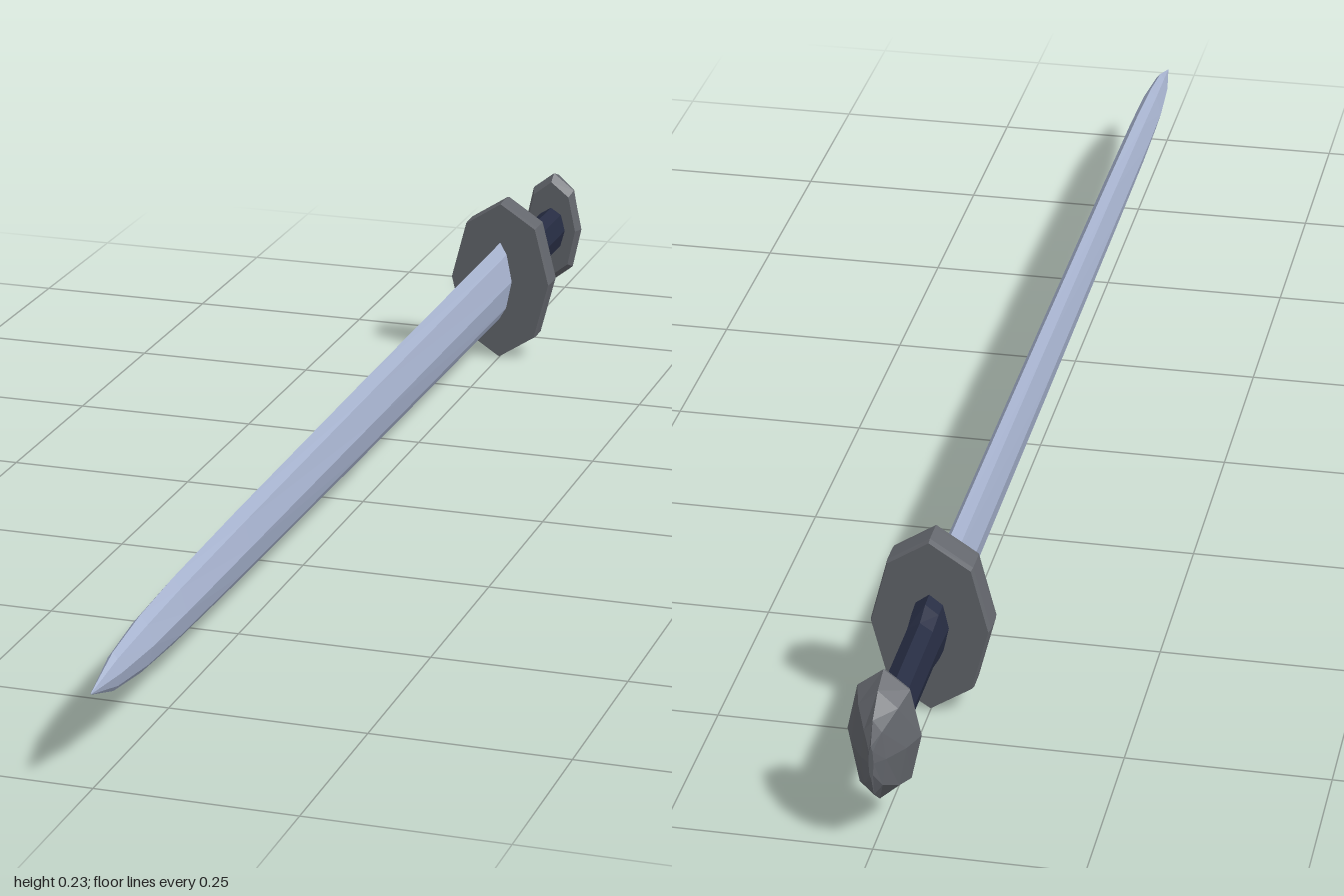
import * as THREE from 'three';

const AXIS_Y = 0.117;

// Four-way symmetric outline, counter-clockwise, from one corner point
const outline = (cx, cy) => [
  [1, 0], [cx, cy], [0, 1], [-cx, cy], [-1, 0], [-cx, -cy], [0, -1], [cx, -cy],
];

// Lofts an outline through sections [z, halfWidth, halfHeight], rising in z, with closed ends
function loft(name, color, shape, sections) {
  const n = shape.length;
  const pos = [];
  const index = [];
  for (const [z, w, h] of sections) {
    for (const [x, y] of shape) pos.push(x * w, AXIS_Y + y * h, z);
  }
  const last = sections.length - 1;
  const startCentre = pos.length / 3;
  pos.push(0, AXIS_Y, sections[0][0], 0, AXIS_Y, sections[last][0]);
  for (let j = 0; j < n; j++) {
    const k = (j + 1) % n;
    for (let i = 0; i < last; i++) {
      const a = i * n + j, b = i * n + k;
      index.push(a, b, b + n, a, b + n, a + n);
    }
    index.push(startCentre, k, j, startCentre + 1, last * n + j, last * n + k);
  }
  let geo = new THREE.BufferGeometry();
  geo.setAttribute('position', new THREE.Float32BufferAttribute(pos, 3));
  geo.setIndex(index);
  geo = geo.toNonIndexed();
  geo.computeVertexNormals();
  const mesh = new THREE.Mesh(geo, new THREE.MeshStandardMaterial({ color, flatShading: true }));
  mesh.name = name;
  return mesh;
}

export function createModel() {
  const sword = new THREE.Group();
  sword.name = 'sword';
  const steel = 0xa8b4d0, iron = 0x63666c, leather = 0x262c42;
  const octagon = outline(0.71, 0.71);

  sword.add(
    // Double-edged blade, tapering to a point at the front
    loft('blade', steel, outline(0.55, 0.7), [
      [-0.66, 0.018, 0.058],
      [0, 0.018, 0.053],
      [0.5, 0.018, 0.047],
      [0.73, 0.018, 0.042],
      [0.84, 0.017, 0.036],
      [0.93, 0.011, 0.024],
      [1, 0.0005, 0.001],
    ]),
    // Flat eight-sided guard
    loft('guard', iron, octagon, [
      [-0.688, 0.072, 0.115],
      [-0.68, 0.074, 0.117],
      [-0.652, 0.074, 0.117],
      [-0.644, 0.073, 0.116],
    ]),
    // Grip, flaring towards the guard
    loft('grip', leather, octagon, [
      [-0.93, 0.022, 0.034],
      [-0.74, 0.022, 0.035],
      [-0.71, 0.023, 0.043],
      [-0.68, 0.024, 0.045],
    ]),
    // Faceted mushroom-shaped pommel
    loft('pommel', iron, octagon, [
      [-1, 0.003, 0.022],
      [-0.988, 0.015, 0.05],
      [-0.96, 0.033, 0.073],
      [-0.93, 0.044, 0.084],
      [-0.915, 0.038, 0.074],
    ]),
  );
  return sword;
}
